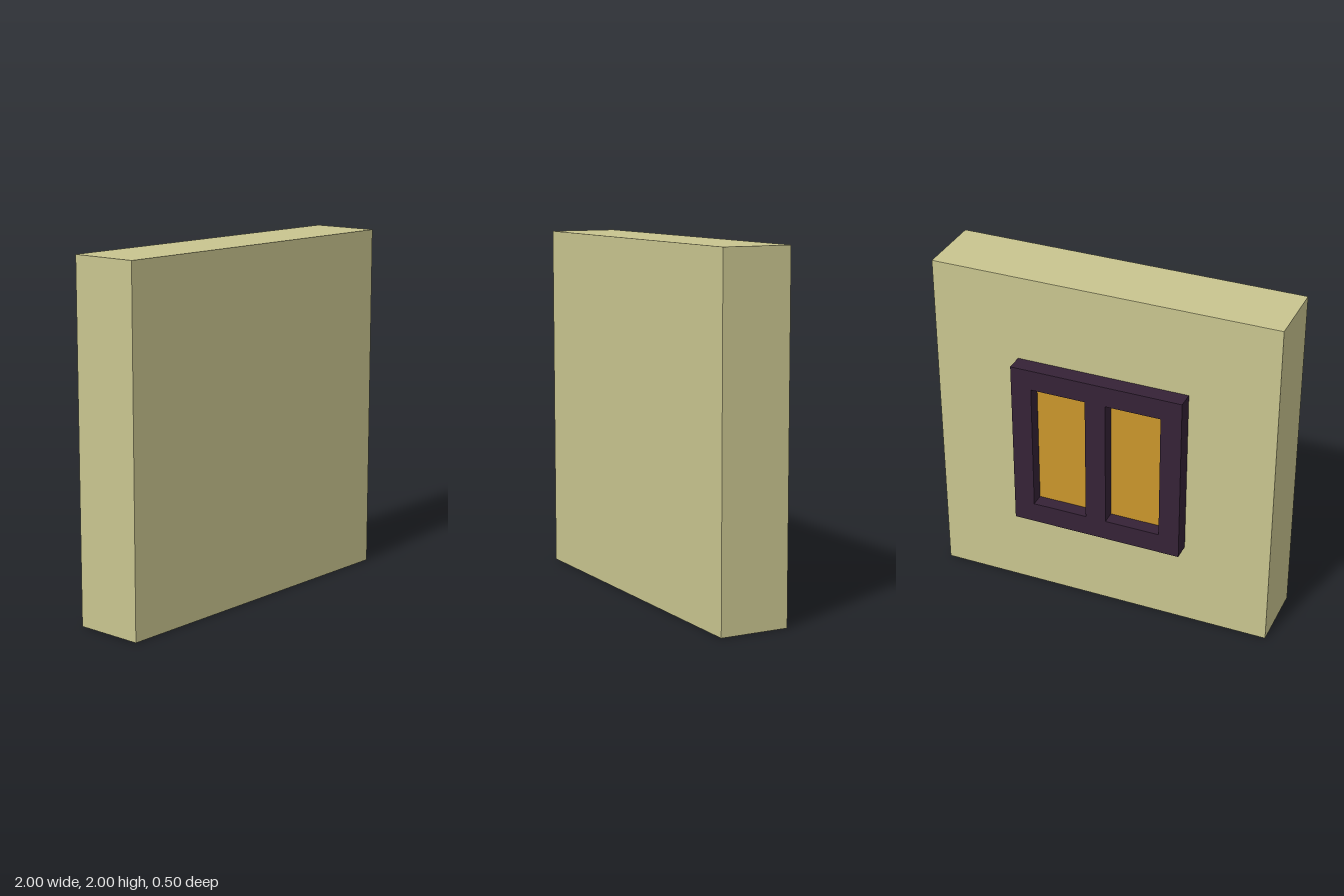
import * as THREE from 'three';

const wallMat = new THREE.MeshStandardMaterial({ name: 'sand plaster', color: 0xc9c58f });
const frameMat = new THREE.MeshStandardMaterial({ name: 'dark plum', color: 0x352236 });
const paneMat = new THREE.MeshStandardMaterial({ name: 'amber', color: 0xca962c });

// Rectangle outline centred on (x, 0)
function rectangle(Type, x, w, h) {
  return new Type([
    new THREE.Vector2(x - w / 2, -h / 2),
    new THREE.Vector2(x + w / 2, -h / 2),
    new THREE.Vector2(x + w / 2, h / 2),
    new THREE.Vector2(x - w / 2, h / 2),
  ]);
}

export function createModel() {
  const model = new THREE.Group();
  model.name = 'wallWithWindow';

  const add = (name, geometry, material, x, y, z) => {
    const mesh = new THREE.Mesh(geometry, material);
    mesh.name = name;
    mesh.position.set(x, y, z);
    model.add(mesh);
  };

  // Wall block
  add('wall', new THREE.BoxGeometry(2, 2, 0.4), wallMat, 0, 1, 0.05);

  // Window frame on the back face, with two openings
  const paneX = 0.22, paneW = 0.32, paneH = 0.76;
  const outline = rectangle(THREE.Shape, 0, 1, 1);
  for (const side of [-1, 1]) outline.holes.push(rectangle(THREE.Path, side * paneX, paneW, paneH));
  const frame = new THREE.ExtrudeGeometry(outline, { depth: 0.1, bevelEnabled: false });
  add('windowFrame', frame, frameMat, 0, 1, -0.25);

  // Recessed panes
  for (const side of [-1, 1]) {
    const name = side > 0 ? 'leftPane' : 'rightPane';
    add(name, new THREE.BoxGeometry(paneW, paneH, 0.02), paneMat, side * paneX, 1, -0.16);
  }

  return model;
}
